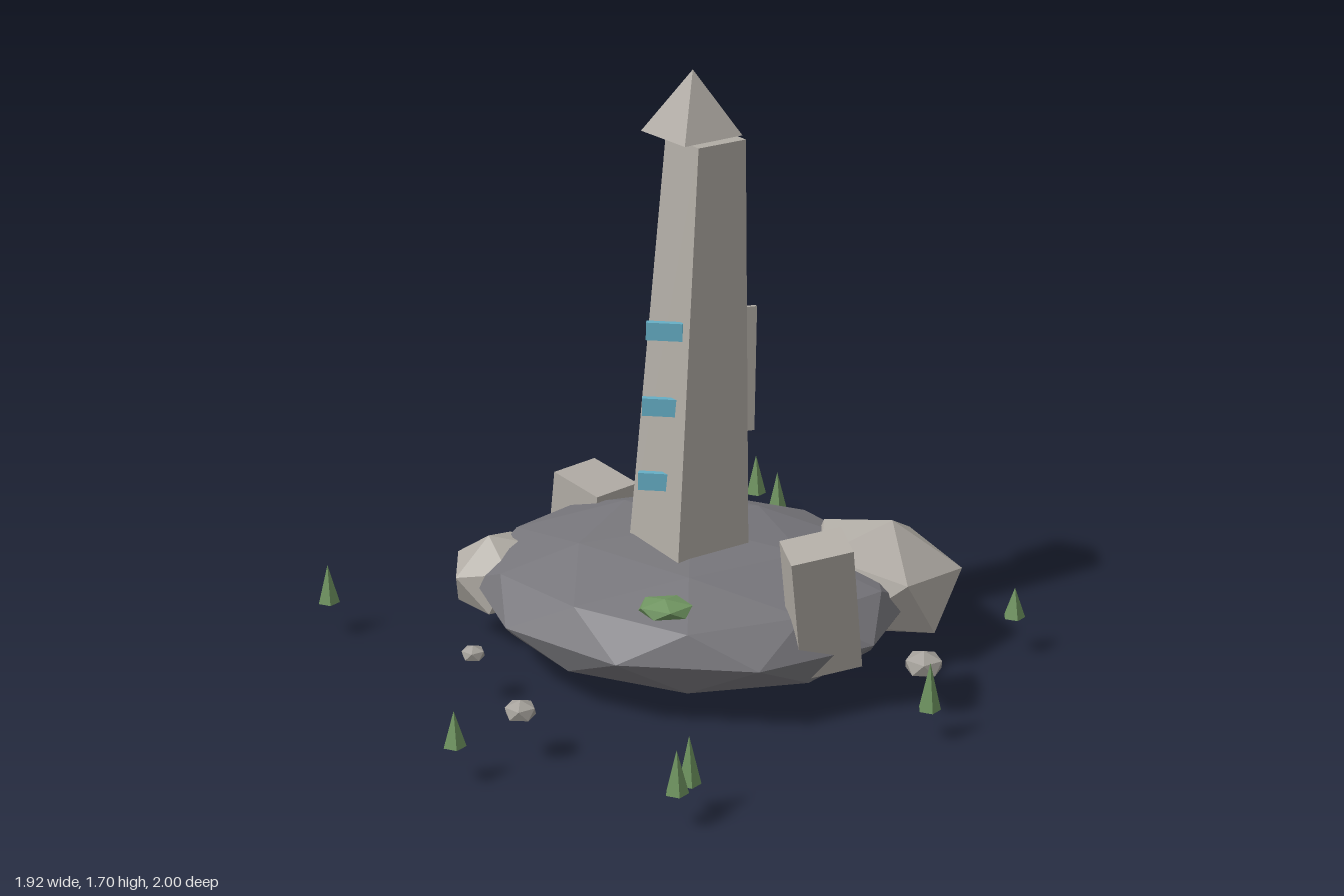
import * as THREE from 'three';
import { ConvexGeometry } from 'three/addons/geometries/ConvexGeometry.js';

const mat = (name, color) => {
  const m = new THREE.MeshStandardMaterial({ color, flatShading: true });
  m.name = name;
  return m;
};

// Icosphere standing on a vertex
function icosphere(detail) {
  const v = [0, 1, 0], f = [], h = 1 / Math.sqrt(5), r = 2 * h;
  for (const [y, offset] of [[h, 0], [-h, Math.PI / 5]]) {
    for (let i = 0; i < 5; i++) {
      const a = offset + i * Math.PI * 0.4;
      v.push(r * Math.cos(a), y, -r * Math.sin(a));
    }
  }
  v.push(0, -1, 0);
  for (let i = 0; i < 5; i++) {
    const u = 1 + i, un = 1 + (i + 1) % 5, l = 6 + i, ln = 6 + (i + 1) % 5;
    f.push(0, u, un, u, l, un, l, ln, un, 11, ln, l);
  }
  return new THREE.PolyhedronGeometry(v, f, 1, detail);
}

// Four corners of a square: centre and two half diagonals
const square = (x, y, z, fx, fz, rx, rz) => [
  new THREE.Vector3(x + fx, y, z + fz), new THREE.Vector3(x + rx, y, z + rz),
  new THREE.Vector3(x - fx, y, z - fz), new THREE.Vector3(x - rx, y, z - rz),
];

export function createModel() {
  const model = new THREE.Group();
  model.name = 'towerIsland';
  const ground = mat('dark rock', 0x77767b);
  const stone = mat('pale stone', 0xb1aca5);
  const pebble = mat('pebble grey', 0xa5a19b);
  const glass = mat('blue window', 0x66afc6);
  const green = mat('tree green', 0x6f9460);

  const add = (name, geo, material, pos, rot = [0, 0, 0], scale = [1, 1, 1]) => {
    const m = new THREE.Mesh(geo, material);
    m.name = name;
    m.position.set(...pos);
    m.rotation.set(...rot);
    m.scale.set(...scale);
    model.add(m);
    return m;
  };
  const ball = icosphere(0);

  // Island
  add('island', icosphere(1), ground, [0.07, 0.19, -0.022], [0, 0, 0], [0.634, 0.19, 0.547]);

  // Leaning tapered tower and its pyramid roof
  add('tower', new ConvexGeometry([
    ...square(0.082, 0.355, 0.022, 0.033, 0.163, 0.167, -0.03),
    ...square(0.106, 1.517, -0.032, 0.022, 0.108, 0.108, -0.02),
  ]), stone, [0, 0, 0]);
  add('roof', new ConvexGeometry([
    ...square(0.066, 1.525, -0.03, 0.033, 0.132, 0.135, -0.03),
    new THREE.Vector3(0.067, 1.7, -0.035),
  ]), stone, [0, 0, 0]);

  // Windows, each half sunk in the tower face
  for (let i = 0; i < 3; i++) {
    add('window', new THREE.BoxGeometry(0.1, 0.05, 0.02), glass,
      [0.025 + i * 0.011, 0.565 + i * 0.22, 0.123 - i * 0.003], [-0.03, 0.27, 0]);
  }

  // Fin on the back of the tower
  add('fin', new THREE.BoxGeometry(0.125, 0.365, 0.012), stone, [0.158, 0.825, -0.125], [-0.03, 0.74, 0]);

  // Boulders and leaning blocks around the rim
  add('largeBoulder', ball, stone, [0.555, 0.215, -0.25], [0, 0.3, -0.2], [0.25, 0.175, 0.25]);
  add('smallBoulder', ball, stone, [-0.475, 0.19, 0.085], [0.1, 0.4, 0.2], [0.155, 0.125, 0.15]);
  add('tallBlock', new THREE.BoxGeometry(0.172, 0.39, 0.118), stone, [0.55, 0.33, 0.235], [0.25, 0.62, 0]);
  add('shortBlock', new THREE.BoxGeometry(0.19, 0.26, 0.16), stone, [-0.365, 0.22, -0.33], [0, -0.43, -0.13]);

  // Moss patch
  add('moss', ball, green, [0.155, 0.312, 0.378], [0.1, 0.2, 0], [0.084, 0.027, 0.06]);

  // Floating pebbles: x, z, radius
  for (const [x, z, r] of [
    [-0.48, -0.625, 0.058], [-0.185, -0.625, 0.047], [-0.33, -0.825, 0.037], [0.805, 0.11, 0.058],
    [-0.36, 0.51, 0.036], [-0.095, 0.78, 0.047], [0.565, -0.45, 0.036],
  ]) add('pebble', ball, pebble, [x, 0.143, z], [0, 0, 0], [r, r * 0.66, r]);

  // Floating trees: x, z, height
  const cone = new THREE.ConeGeometry(0.032, 1, 5);
  for (const [x, z, h] of [
    [-0.27, -0.972, 0.125], [-0.085, -0.968, 0.125], [0.025, -0.86, 0.125], [-0.37, -0.812, 0.1],
    [0.93, -0.342, 0.09], [0.87, 0.263, 0.137], [-0.932, 0.272, 0.115], [-0.2, 0.964, 0.1],
    [0.43, 0.897, 0.135], [0.425, 0.97, 0.12],
  ]) add('tree', cone, green, [x, 0.157, z], [0, Math.PI, 0], [1, h, 1]);

  return model;
}
